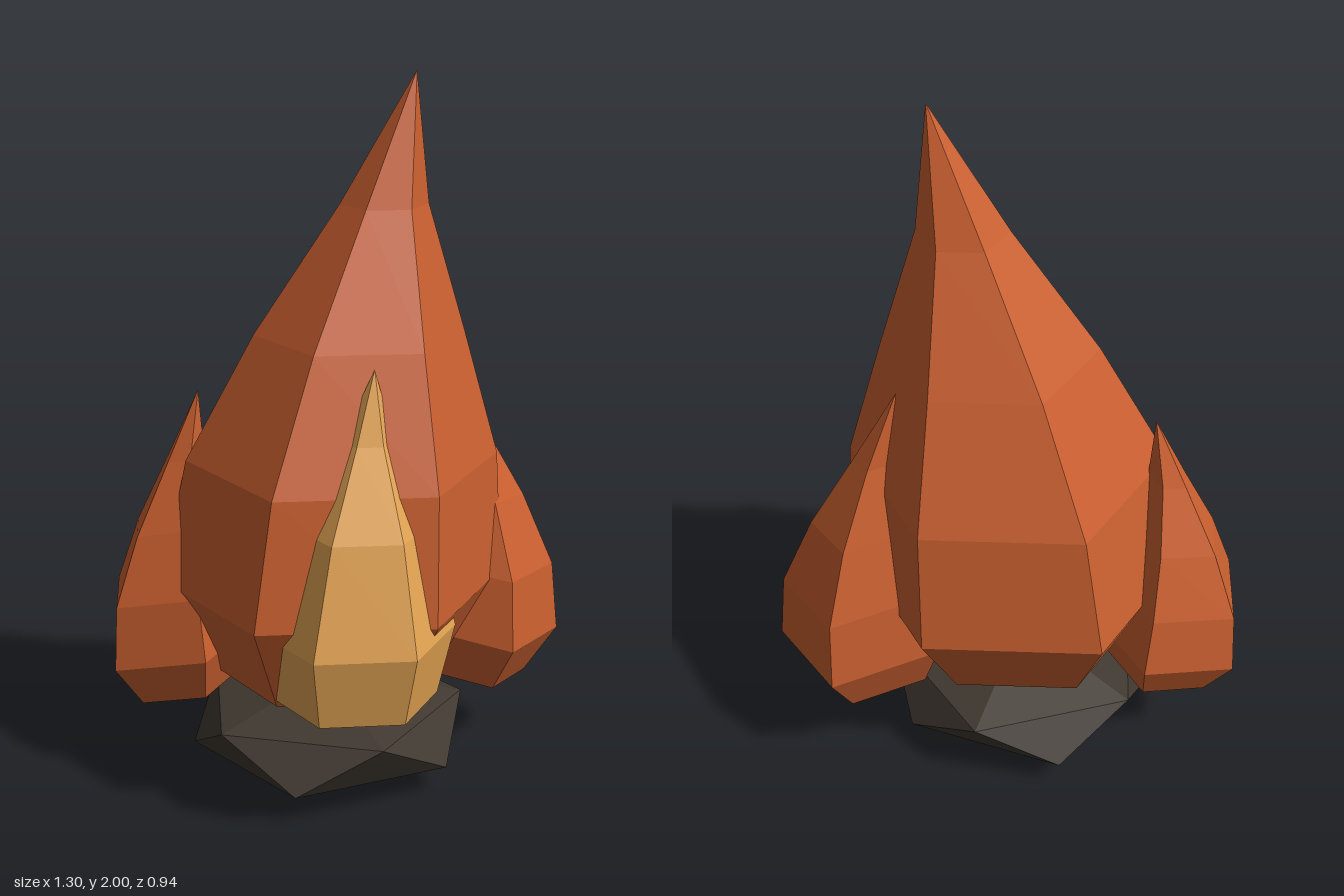
import * as THREE from 'three';

// Faceted solid skinned over rings { x, y, r, turn }; r = 0 makes a tip.
// Unshared corners keep every facet flat.
function loft(rings, sides) {
  const pos = [];
  const corner = (ring, i) => {
    const a = (ring.turn || 0) + (i / sides) * Math.PI * 2;
    return [ring.x + ring.r * Math.cos(a), ring.y, -ring.r * Math.sin(a)];
  };
  for (let k = 0; k < rings.length - 1; k++) {
    const lo = rings[k], hi = rings[k + 1];
    for (let i = 0; i < sides; i++) {
      if (lo.r > 0) pos.push(...corner(lo, i), ...corner(lo, i + 1), ...corner(hi, i));
      if (hi.r > 0) pos.push(...corner(hi, i), ...corner(lo, i + 1), ...corner(hi, i + 1));
    }
  }
  const g = new THREE.BufferGeometry();
  g.setAttribute('position', new THREE.Float32BufferAttribute(pos, 3));
  g.computeVertexNormals();
  return g;
}

// Teardrop profile as [height fraction, radius fraction]
const TONGUE = [[0, 0], [0.05, 0.7], [0.2, 1], [0.4, 0.9], [0.6, 0.6], [0.8, 0.25], [1, 0]];
const SHORT_TONGUE = [[0, 0], [0.095, 0.84], [0.29, 1], [0.58, 0.69], [0.81, 0.26], [1, 0]];

// Flame tongue whose tip bends sideways with the square of its height
function flame({ name, material, profile = TONGUE, sides, radius, height, bend, base, tilt = 0 }) {
  const rings = profile.map(([t, r]) => ({ x: bend * t * t, y: height * t, r: radius * r }));
  const mesh = new THREE.Mesh(loft(rings, sides), material);
  mesh.name = name;
  mesh.position.set(...base);
  mesh.rotation.z = tilt;
  return mesh;
}

export function createModel() {
  const model = new THREE.Group();
  model.name = 'campfire';
  const paint = (name, color) => {
    const m = new THREE.MeshStandardMaterial({ color });
    m.name = name;
    return m;
  };
  const orange = paint('flame orange', 0xcb6030);
  const yellow = paint('flame yellow', 0xe6a654);
  const charcoal = paint('charcoal', 0x403830);

  // Squashed twenty-sided coal under the fire
  const coal = new THREE.Mesh(loft([
    { x: 0, y: 0, r: 0 },
    { x: 0, y: 0.083, r: 0.39, turn: Math.PI },
    { x: 0, y: 0.213, r: 0.39, turn: Math.PI * 1.2 },
    { x: 0, y: 0.293, r: 0 },
  ], 5), charcoal);
  coal.name = 'coal';
  coal.position.set(-0.05, 0, -0.05);
  model.add(coal);

  // Tall middle flame, two leaning side flames and the bright front flame
  model.add(
    flame({ name: 'mainFlame', material: orange, sides: 6, radius: 0.485, height: 1.765, bend: 0.235, base: [-0.045, 0.235, -0.05] }),
    flame({ name: 'leftFlame', material: orange, sides: 5, radius: 0.265, height: 0.991, bend: -0.272, base: [0.36, 0.2, -0.175], tilt: -0.19 }),
    flame({ name: 'rightFlame', material: orange, sides: 5, radius: 0.232, height: 0.895, bend: 0.225, base: [-0.447, 0.2, -0.13], tilt: 0.2 }),
    flame({ name: 'frontFlame', material: yellow, profile: SHORT_TONGUE, sides: 6, radius: 0.27, height: 1.015, bend: 0.05, base: [0, 0.25, 0.238] }),
  );
  return model;
}
